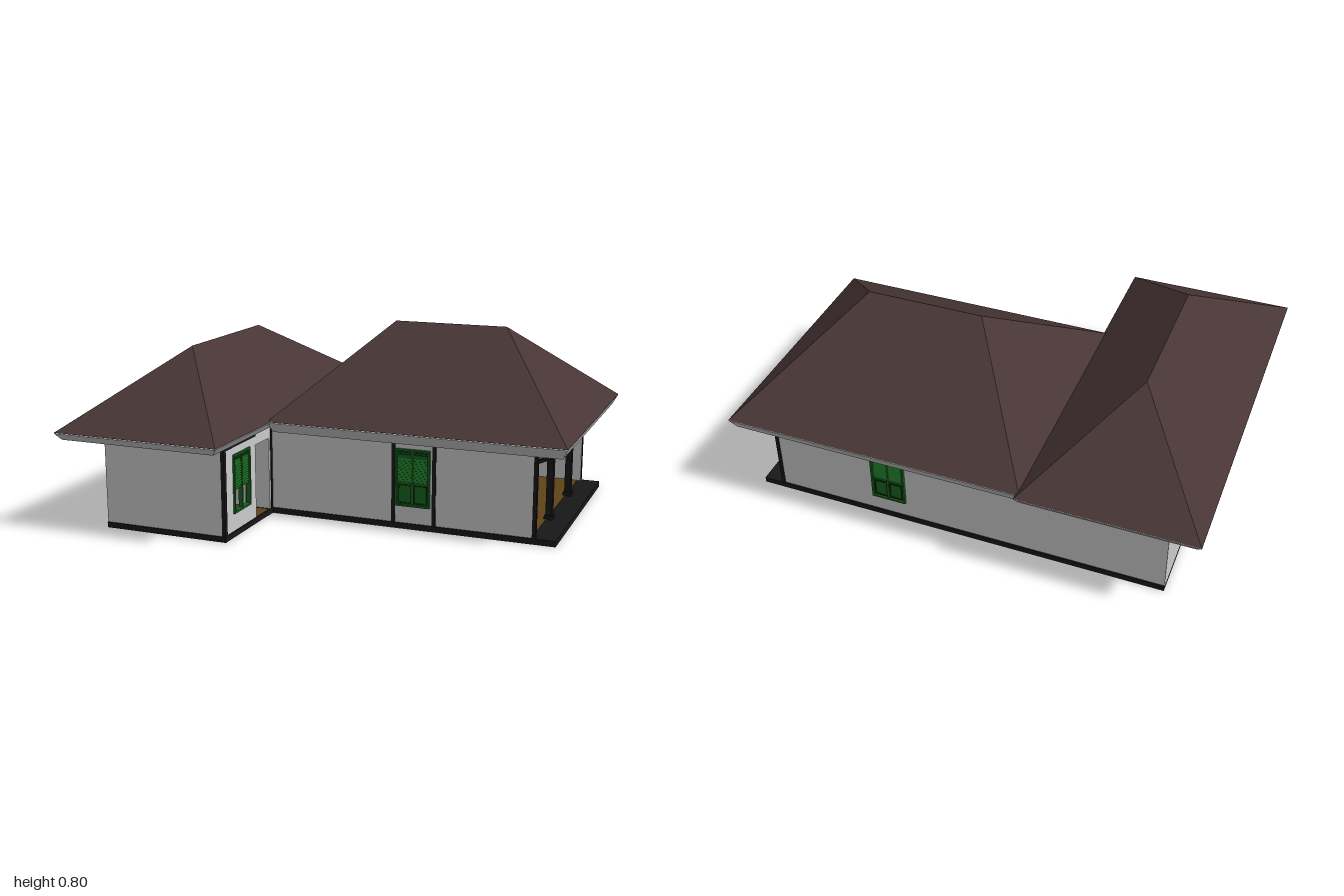
import * as THREE from 'three';
import { ConvexGeometry } from 'three/addons/geometries/ConvexGeometry.js';

const mat = (color) => new THREE.MeshStandardMaterial({ color });
const grey = mat(0xcccccc), brown = mat(0x483636), green = mat(0x186420);
const dark = mat(0x181818), shade = mat(0x0c3212), wood = mat(0x604418);

// Box given by its two opposite corners
function box(parent, name, m, x0, x1, y0, y1, z0, z1) {
  const mesh = new THREE.Mesh(new THREE.BoxGeometry(x1 - x0, y1 - y0, z1 - z0), m);
  mesh.position.set((x0 + x1) / 2, (y0 + y1) / 2, (z0 + z1) / 2);
  mesh.name = name;
  parent.add(mesh);
  return mesh;
}

const corners = (x0, x1, z0, z1, y) =>
  [[x0, z0], [x1, z0], [x1, z1], [x0, z1]].map(([x, z]) => new THREE.Vector3(x, y, z));

// Hipped roof: sloping tiles over a fascia that tapers inwards to a flat soffit
function hipRoof(name, x0, x1, z0, z1, ridge, soffitY) {
  const g = new THREE.Group();
  g.name = name;
  const eave = 0.425, inset = 0.022;
  const ends = ridge.map((p) => new THREE.Vector3(...p));
  const tiles = new THREE.Mesh(new ConvexGeometry([...corners(x0, x1, z0, z1, eave), ...ends]), brown);
  tiles.name = 'roofTiles';
  const fascia = new THREE.Mesh(new ConvexGeometry([
    ...corners(x0, x1, z0, z1, eave - 0.003),
    ...corners(x0 + inset, x1 - inset, z0 + inset, z1 - inset, soffitY),
  ]), grey);
  fascia.name = 'fascia';
  g.add(tiles, fascia);
  return g;
}

// Louvred pair of leaves facing +z, with its bottom centre at the origin
function shutters(name, w, h, panelH, openBelow = false, transom = 0) {
  const g = new THREE.Group();
  g.name = name;
  const f = 0.008, hw = w / 2, top = h - transom;
  for (const s of [-1, 1]) box(g, 'jamb', green, s * (hw - f / 2) - f / 2, s * (hw - f / 2) + f / 2, 0, h, -0.012, 0.01);
  box(g, 'sill', green, -hw, hw, 0, f, -0.012, 0.01);
  box(g, 'head', green, -hw, hw, h - f, h, -0.012, 0.01);
  box(g, 'mullion', green, -f / 2, f / 2, 0, top, -0.01, 0.008);
  box(g, 'backing', green, -hw + f, hw - f, openBelow ? panelH : f, top, -0.01, 0.002);
  if (transom) {
    box(g, 'transomRail', green, -hw, hw, top - f, top, -0.01, 0.01);
    for (let i = 1; i < 4; i++) box(g, 'transomBar', green, -hw + i * w / 4 - 0.002, -hw + i * w / 4 + 0.002, top, h, -0.01, 0.008);
  }
  const ventY = top - 0.026;
  for (const s of [-1, 1]) {
    const cx = s * (hw - f) / 2, pw = hw / 2 - f;
    // dark ventilation slots over the leaves
    if (!transom) for (let i = 0; i < 2; i++) box(g, 'ventSlot', shade, cx - pw, cx + pw, ventY + i * 0.009, ventY + 0.006 + i * 0.009, 0, 0.004);
    // tilted slats
    const y0 = panelH + 0.012, n = Math.floor((ventY - 0.006 - y0) / 0.01);
    for (let i = 0; i < n; i++) {
      const slat = box(g, 'slat', green, cx - pw, cx + pw, y0 + i * 0.01, y0 + i * 0.01 + 0.009, 0.002, 0.005);
      slat.rotation.x = -0.45;
    }
    // framed lower panel
    if (!openBelow) {
      const a = cx - pw, b = cx + pw, y = 0.012, t = 0.005;
      box(g, 'panelFrame', shade, a, b, y, y + t, 0, 0.006);
      box(g, 'panelFrame', shade, a, b, panelH - t, panelH, 0, 0.006);
      box(g, 'panelFrame', shade, a, a + t, y, panelH, 0, 0.006);
      box(g, 'panelFrame', shade, b - t, b, y, panelH, 0, 0.006);
    }
  }
  return g;
}

function place(parent, obj, x, y, z, turn = 0) {
  obj.position.set(x, y, z);
  obj.rotation.y = turn;
  parent.add(obj);
}

export function createModel() {
  const house = new THREE.Group();
  house.name = 'house';
  const T = 0.02, F = 0.027, H = 0.395;

  // Floors: dark plinth with coloured undersides and floor finishes
  const floors = new THREE.Group();
  floors.name = 'floors';
  house.add(floors);
  box(floors, 'wingPlinth', dark, -0.85, -0.295, 0.002, 0.025, -0.685, 0.69);
  box(floors, 'mainPlinth', dark, -0.295, 0.95, 0.002, 0.025, -0.685, 0.25);
  box(floors, 'wingUnderside', grey, -0.85, -0.295, 0, 0.002, -0.685, 0.30);
  box(floors, 'mainUnderside', grey, -0.295, 0.475, 0, 0.002, -0.685, 0.25);
  box(floors, 'frontRoomUnderside', wood, -0.84, -0.305, 0, 0.002, 0.30, 0.68);
  box(floors, 'porchUnderside', green, 0.475, 0.95, 0, 0.002, -0.685, 0.25);
  box(floors, 'frontRoomFloor', wood, -0.84, -0.30, 0.025, F, 0.28, 0.68);
  box(floors, 'porchFloor', wood, 0.47, 0.85, 0.025, F, -0.67, 0.235);

  // Walls
  const walls = new THREE.Group();
  walls.name = 'walls';
  house.add(walls);
  box(walls, 'wingOuterWall', grey, -0.85, -0.85 + T, 0.02, H, -0.68, 0.685);
  box(walls, 'wingFrontWall', grey, -0.85, -0.30, 0.02, H, 0.685 - T, 0.685);
  box(walls, 'backWall', grey, -0.85, 0.865, 0.02, H, -0.68, -0.68 + T);
  box(walls, 'mainFrontWall', grey, -0.30, 0.865, 0.02, H, 0.245 - T, 0.245);
  box(walls, 'porchInnerWall', grey, 0.47 - T, 0.47, 0.02, H, -0.68, 0.24);
  box(walls, 'partition', grey, -0.32, -0.30, 0.02, H, -0.68, 0.24);
  box(walls, 'wingPartition', grey, -0.85, -0.30, 0.02, H, 0.25, 0.27);
  box(walls, 'doorwayLintel', grey, -0.32, -0.30, 0.34, H, 0.25, 0.40);

  // Wing side wall with its window opening
  const side = new THREE.Shape([[-0.685, 0.02], [-0.40, 0.02], [-0.40, H], [-0.685, H]].map((p) => new THREE.Vector2(...p)));
  side.holes.push(new THREE.Path([[-0.605, 0.10], [-0.605, 0.345], [-0.46, 0.345], [-0.46, 0.10]].map((p) => new THREE.Vector2(...p))));
  const sideWall = new THREE.Mesh(new THREE.ExtrudeGeometry(side, { depth: T, bevelEnabled: false }), grey);
  sideWall.name = 'wingSideWall';
  place(walls, sideWall, -0.32, 0, 0, Math.PI / 2);

  // Dark corner posts and trim
  const trim = new THREE.Group();
  trim.name = 'trim';
  house.add(trim);
  for (const [x, z] of [[-0.304, 0.679], [-0.304, 0.248], [0.26, 0.24], [0.437, 0.24], [0.86, 0.24], [0.86, -0.674]])
    box(trim, 'cornerPost', dark, x - 0.008, x + 0.008, 0.01, 0.39, z - 0.009, z + 0.009);
  box(trim, 'wingFrontTopTrim', dark, -0.85, -0.296, 0.378, 0.393, 0.67, 0.688);
  box(trim, 'wingSideTopTrim', dark, -0.31, -0.297, 0.378, 0.393, 0.40, 0.688);

  // Porch columns, beam and eave brackets
  const porch = new THREE.Group();
  porch.name = 'porch';
  house.add(porch);
  for (const z of [-0.035, -0.41]) {
    box(porch, 'column', dark, 0.845, 0.873, 0.02, 0.385, z - 0.014, z + 0.014);
    box(porch, 'columnBase', dark, 0.84, 0.878, 0.02, 0.042, z - 0.02, z + 0.02);
  }
  for (const z of [0.235, -0.035, -0.41, -0.67]) {
    const strut = box(porch, 'eaveBracket', dark, 0.86, 0.965, 0.355, 0.371, z - 0.008, z + 0.008);
    strut.rotation.z = 0.42;
  }

  // Windows and the double door
  const Q = Math.PI / 2;
  place(house, shutters('frontWindow', 0.15, 0.245, 0.093), 0.345, 0.10, 0.247);
  place(house, shutters('backWindow', 0.15, 0.245, 0.093), 0.345, 0.10, -0.682, Math.PI);
  place(house, shutters('porchWindow', 0.15, 0.245, 0.093), 0.472, 0.10, 0.087, Q);
  place(house, shutters('porchWindow', 0.15, 0.245, 0.093), 0.472, 0.10, -0.522, Q);
  place(house, shutters('porchDoor', 0.192, 0.34, 0.125, false, 0.022), 0.472, 0.038, -0.211, Q);
  place(house, shutters('wingWindow', 0.148, 0.247, 0.095, true), -0.302, 0.10, 0.533, Q);

  // Roofs
  house.add(hipRoof('wingRoof', -1, -0.262, -0.82, 0.82, [[-0.63, 0.728, -0.32], [-0.63, 0.728, 0.32]], 0.393));
  house.add(hipRoof('mainRoof', -0.28, 1, -0.797, 0.332, [[0.097, 0.8, -0.232], [0.602, 0.8, -0.232]], 0.38));
  return house;
}
